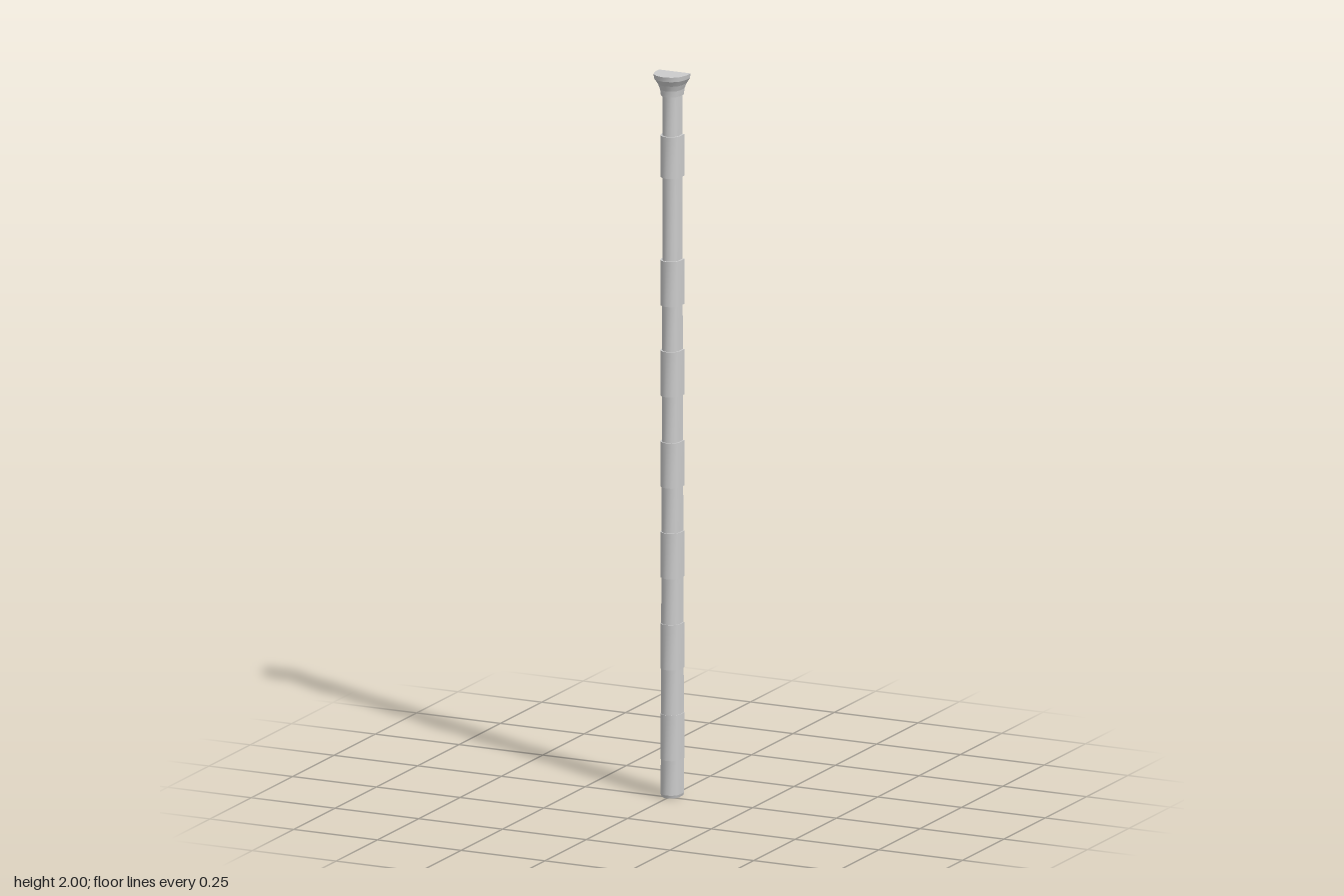
import * as THREE from 'three';

const material = new THREE.MeshStandardMaterial({ color: 0xcccccc, side: THREE.DoubleSide });
const AXIS_Z = -0.012, BACK_Z = -0.036, STEPS = 6;

// U-shaped outline: half a twelve-sided round with straight sides running to the open back
function outline(r) {
  const pts = [[r, BACK_Z]];
  for (let i = 0; i <= STEPS; i++) {
    const a = (i / STEPS) * Math.PI;
    pts.push([r * Math.cos(a), AXIS_Z + r * Math.sin(a)]);
  }
  pts.push([-r, BACK_Z]);
  return pts;
}

// Open strip between two outlines [radius, y], smooth around and creased at both rims
function strip(name, [r0, y0], [r1, y1]) {
  const lower = outline(r0), upper = outline(r1);
  const pos = [], index = [];
  lower.forEach(([x, z], i) => {
    pos.push(x, y0, z, upper[i][0], y1, upper[i][1]);
    if (i > 0) {
      const a = 2 * (i - 1);
      index.push(a, a + 1, a + 2, a + 1, a + 3, a + 2);
    }
  });
  const geo = new THREE.BufferGeometry();
  geo.setAttribute('position', new THREE.Float32BufferAttribute(pos, 3));
  geo.setIndex(index);
  geo.computeVertexNormals();
  const mesh = new THREE.Mesh(geo, material);
  mesh.name = name;
  return mesh;
}

// Flat end plate with the same outline
function plate(name, r, y, up) {
  const shape = new THREE.Shape(outline(r).map(([x, z]) => new THREE.Vector2(x, up ? -z : z)));
  const geo = new THREE.ShapeGeometry(shape);
  geo.rotateX(up ? -Math.PI / 2 : Math.PI / 2);
  geo.translate(0, y, 0);
  const mesh = new THREE.Mesh(geo, material);
  mesh.name = name;
  return mesh;
}

function addProfile(parent, name, profile) {
  for (let i = 1; i < profile.length; i++) parent.add(strip(name, profile[i - 1], profile[i]));
}

export function createModel() {
  const model = new THREE.Group();
  model.name = 'halfColumn';

  // Shaft drums: raised bands alternate with a core that tapers upwards
  const joints = [0.008, 0.104, 0.23, 0.355, 0.48, 0.607, 0.733, 0.858, 0.983, 1.11, 1.235, 1.36, 1.485, 1.715, 1.83, 1.94];
  const core = (y) => 0.0275 - 0.0045 * Math.min(1, y / 1.5);
  const shaft = new THREE.Group();
  shaft.name = 'shaft';
  const profile = [[0.025, 0], [core(0), 0.008]];
  for (let i = 0; i + 1 < joints.length; i++) {
    const raised = i % 2 === 1;
    for (const y of [joints[i], joints[i + 1]]) profile.push([raised ? 0.0285 : core(y), y]);
  }
  // The taller plain run below the top band keeps the alternation intact
  addProfile(shaft, 'shaftDrum', profile);
  shaft.add(plate('shaftFoot', 0.025, 0, false));
  model.add(shaft);

  // Flared capital with a closed top
  const capital = new THREE.Group();
  capital.name = 'capital';
  addProfile(capital, 'capitalFlare', [
    [0.023, 1.94], [0.027, 1.94], [0.029, 1.957], [0.035, 1.972], [0.045, 1.987], [0.047, 2],
  ]);
  capital.add(plate('capitalTop', 0.047, 2, true));
  model.add(capital);

  return model;
}
